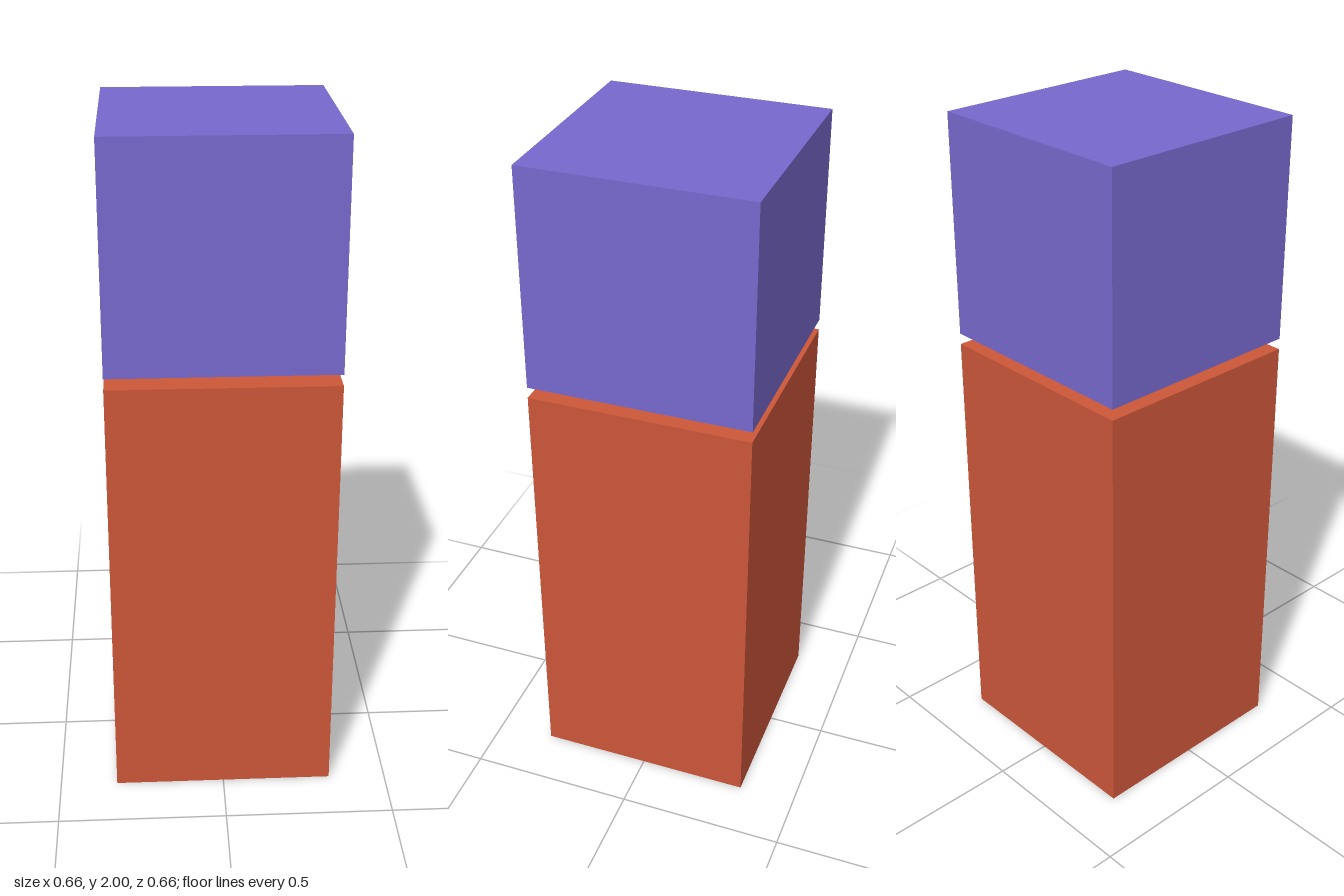
import * as THREE from 'three';

const WIDTH = 0.656;

// Square block resting at height y
function block(name, y, height, color) {
  const mesh = new THREE.Mesh(
    new THREE.BoxGeometry(WIDTH, height, WIDTH),
    new THREE.MeshStandardMaterial({ color })
  );
  mesh.name = name;
  mesh.position.y = y + height / 2;
  return mesh;
}

export function createModel() {
  const group = new THREE.Group();
  group.name = 'stackedBlocks';
  // Tall lower block, and a cube floating just above it
  group.add(block('lowerBlock', 0, 1.311, 0xcc5639));
  group.add(block('upperCube', 1.344, 0.656, 0x7668cc));
  return group;
}
